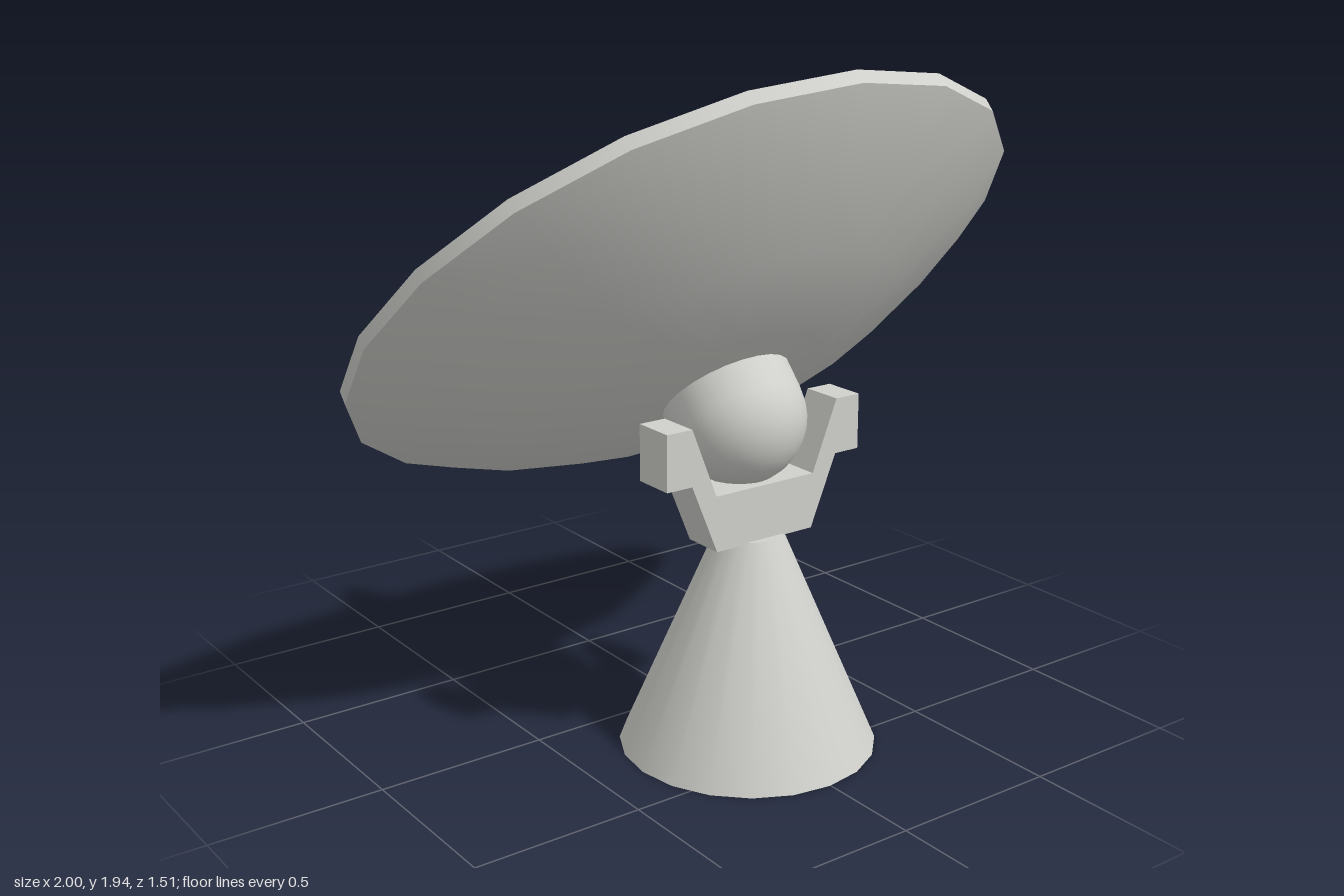
import * as THREE from 'three';
import { toCreasedNormals } from 'three/addons/utils/BufferGeometryUtils.js';

const SIDES = 20;

export function createModel() {
  const model = new THREE.Group();
  model.name = 'dishAntenna';
  const paleGrey = new THREE.MeshStandardMaterial({ color: 0xd0d0cc });
  paleGrey.name = 'paleGrey';

  const add = (parent, name, geometry, x = 0, y = 0, z = 0) => {
    const mesh = new THREE.Mesh(geometry, paleGrey);
    mesh.name = name;
    mesh.position.set(x, y, z);
    parent.add(mesh);
    return mesh;
  };
  const lathe = (points, sides = SIDES) =>
    new THREE.LatheGeometry(points.map(([r, y]) => new THREE.Vector2(r, y)), sides);

  // Spherical bowl profile of rim radius 1, from the centre out to the rim
  const bowl = (depth, rimY) => {
    const R = (1 + depth * depth) / (2 * depth);
    return [0, 0.29, 0.58, 0.86, 1].map((r) => [r, rimY - depth + R - Math.sqrt(R * R - r * r)]);
  };

  // Conical pedestal
  add(model, 'pedestal', new THREE.CylinderGeometry(0.096, 0.367, 0.63, SIDES), -0.003, 0.315, 0.333);

  // Yoke: angular U bracket with side lugs
  const half = [[0.165, 0.626], [0.249, 0.829], [0.331, 0.829], [0.331, 0.989], [0.249, 0.989], [0.168, 0.786]];
  const outline = [...half, ...half.map(([x, y]) => [-x, y]).reverse()];
  const yokeShape = new THREE.Shape(outline.map(([x, y]) => new THREE.Vector2(x, y)));
  add(model, 'yoke', new THREE.ExtrudeGeometry(yokeShape, { depth: 0.125, bevelEnabled: false }), -0.004, 0, 0.279);

  // Tilted dish assembly, its local +y is the dish axis
  const dish = new THREE.Group();
  dish.name = 'dish';
  dish.position.set(0, 1.24, 0.017);
  dish.rotation.x = -0.736;
  model.add(dish);

  add(dish, 'dishBack', lathe(bowl(0.32, 0)));
  add(dish, 'dishFace', lathe(bowl(0.255, 0.04).reverse()));
  add(dish, 'dishRim', new THREE.CylinderGeometry(1, 1, 0.04, SIDES, 1, true), 0, 0.02, 0);

  // Hub: dome with a short cylinder running into the back of the dish
  const hub = [];
  for (let i = 0; i <= 8; i++) {
    const a = (i / 8) * Math.PI / 2;
    hub.push([0.19 * Math.sin(a), -0.392 - 0.19 * Math.cos(a)]);
  }
  hub.push([0.19, -0.27]);
  add(dish, 'hub', lathe(hub, 24), -0.003, 0, 0);

  // Hollow feed horn in the middle of the dish
  const horn = lathe([[0.102, -0.22], [0.07, -0.118], [0.034, -0.118], [0.034, -0.212]]);
  add(dish, 'feedHorn', toCreasedNormals(horn, 0.6));

  // Receiver ball on four square struts
  add(dish, 'receiver', new THREE.SphereGeometry(0.058, 20, 14), 0, 0.255, -0.01);
  const strut = (from, to) => {
    const a = new THREE.Vector3(...from), b = new THREE.Vector3(...to);
    const mesh = add(dish, 'strut', new THREE.BoxGeometry(0.027, 0.027, a.distanceTo(b)));
    mesh.position.copy(a).lerp(b, 0.5);
    mesh.quaternion.setFromRotationMatrix(new THREE.Matrix4().lookAt(a, b, new THREE.Vector3(0, 1, 0)));
  };
  strut([-0.025, 0.25, -0.01], [-0.025, -0.15, 0.5]);
  strut([-0.025, 0.25, -0.01], [-0.025, -0.155, -0.55]);
  strut([0.01, 0.25, -0.01], [0.55, -0.14, -0.01]);
  strut([-0.01, 0.25, -0.01], [-0.525, -0.14, -0.01]);

  return model;
}
